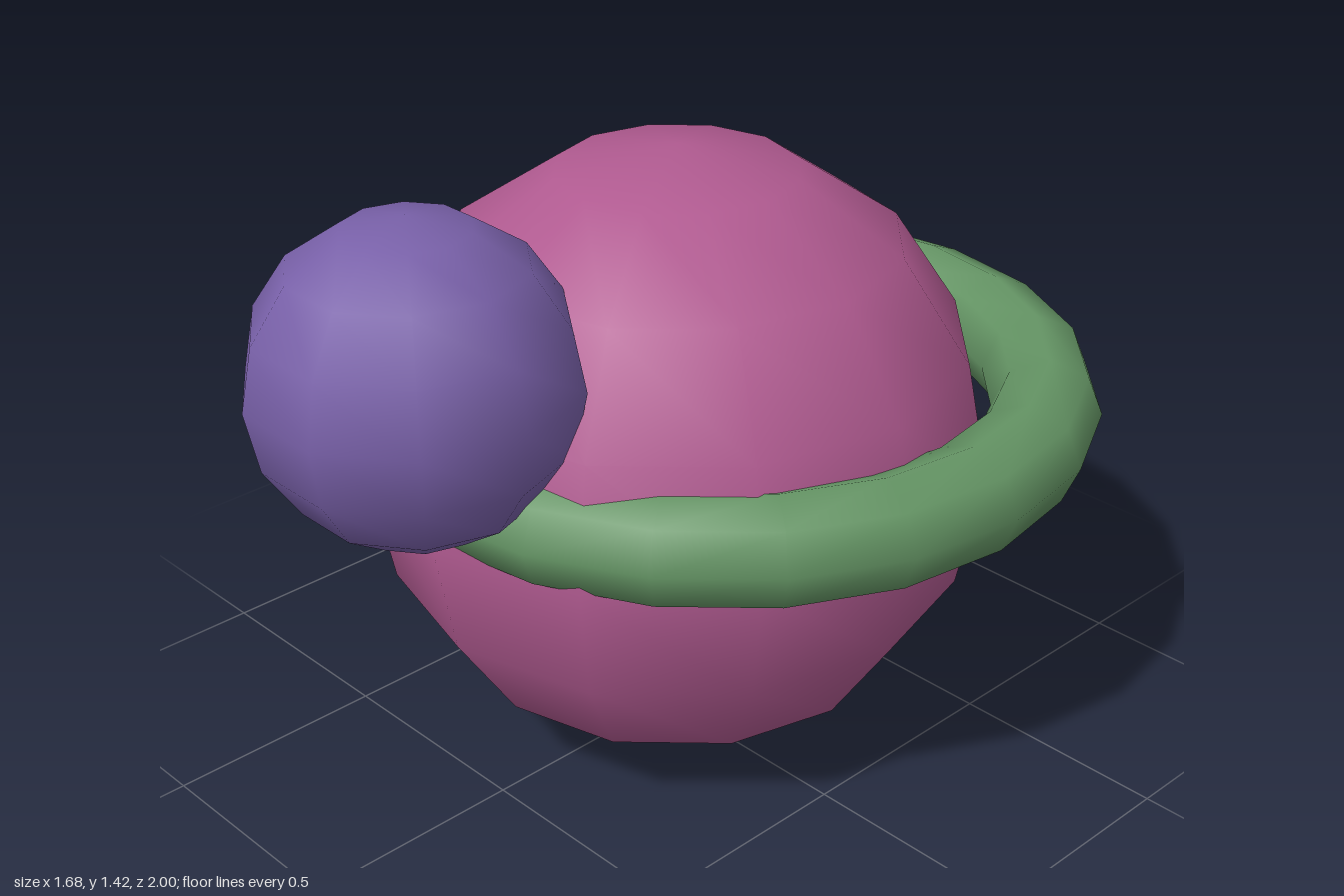
import * as THREE from 'three';

export function createModel() {
  const model = new THREE.Group();

  const add = (name, geometry, color, x, y, z) => {
    const mesh = new THREE.Mesh(geometry, new THREE.MeshStandardMaterial({ color }));
    mesh.name = name;
    mesh.position.set(x, y, z);
    model.add(mesh);
    return mesh;
  };

  // Large body
  add('planet', new THREE.SphereGeometry(0.686, 12, 8), 0xb05a90, 0, 0.688, -0.03);

  // Ring lying flat, set back from the body's centre
  const ring = new THREE.TorusGeometry(0.718, 0.12, 8, 20).rotateX(Math.PI / 2);
  add('ring', ring, 0x649464, 0, 0.775, -0.162);

  // Small ball touching the front
  add('moon', new THREE.SphereGeometry(0.342, 10, 8), 0x7860a8, 0, 1.075, 0.675);

  return model;
}
